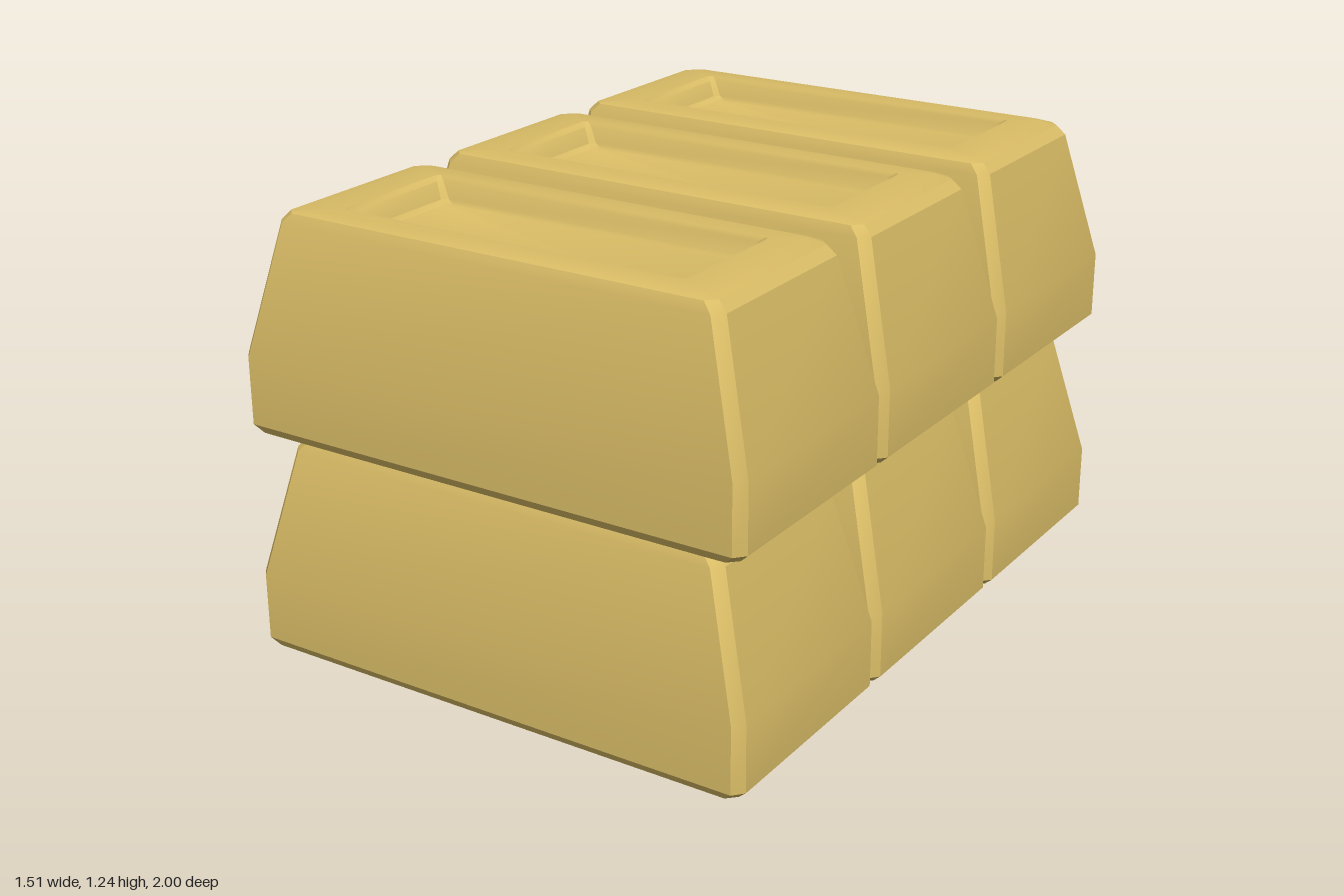
import * as THREE from 'three';
import { toCreasedNormals } from 'three/addons/utils/BufferGeometryUtils.js';

// Cross-sections of one ingot, from the base, over the rim and down into the recess:
// [y, half width, half depth, corner cut x, corner cut z]
const SECTIONS = [
  [0, 0.67, 0.3, 0.025, 0.025],
  [0.012, 0.73, 0.32, 0.025, 0.025],
  [0.035, 0.755, 0.333, 0.025, 0.028],
  [0.22, 0.755, 0.333, 0.025, 0.028],
  [0.58, 0.66, 0.276, 0.025, 0.028],
  [0.606, 0.635, 0.264, 0.025, 0.025],
  [0.615, 0.59, 0.245, 0.02, 0.02],
  [0.615, 0.51, 0.186, 0.012, 0.012],
  [0.603, 0.495, 0.177, 0.012, 0.012],
  [0.56, 0.475, 0.168, 0.015, 0.015],
  [0.55, 0.46, 0.16, 0.02, 0.02],
];

// Rectangle with cut corners, counter-clockwise seen from above
function ring([y, w, d, cx, cz]) {
  return [
    [w, d - cz], [w, cz - d], [w - cx, -d], [cx - w, -d],
    [-w, cz - d], [-w, d - cz], [cx - w, d], [w - cx, d],
  ].map(([x, z]) => [x, y, z]);
}

function ingotGeometry() {
  const n = 8;
  const positions = SECTIONS.flatMap(ring).flat();
  const index = [];
  const last = (SECTIONS.length - 1) * n;
  for (let s = 0; s < last; s += n) {
    for (let i = 0; i < n; i++) {
      const a = s + i, b = s + (i + 1) % n;
      index.push(a, b, b + n, a, b + n, a + n);
    }
  }
  // Underside and recess floor
  for (let i = 1; i < n - 1; i++) {
    index.push(0, i + 1, i);
    index.push(last, last + i, last + i + 1);
  }
  const geometry = new THREE.BufferGeometry();
  geometry.setAttribute('position', new THREE.Float32BufferAttribute(positions, 3));
  geometry.setIndex(index);
  return toCreasedNormals(geometry, 0.5);
}

export function createModel() {
  const model = new THREE.Group();
  model.name = 'ingotStack';
  const gold = new THREE.MeshStandardMaterial({ color: 0xd9bc66 });
  const geometry = ingotGeometry();

  // Two layers of three ingots side by side
  ['lower', 'upper'].forEach((layerName, layer) => {
    const group = new THREE.Group();
    group.name = `${layerName}Layer`;
    group.position.y = layer * 0.62;
    ['back', 'middle', 'front'].forEach((place, i) => {
      const ingot = new THREE.Mesh(geometry, gold);
      ingot.name = `${place}Ingot`;
      ingot.position.z = (i - 1) * 0.667;
      group.add(ingot);
    });
    model.add(group);
  });
  return model;
}
